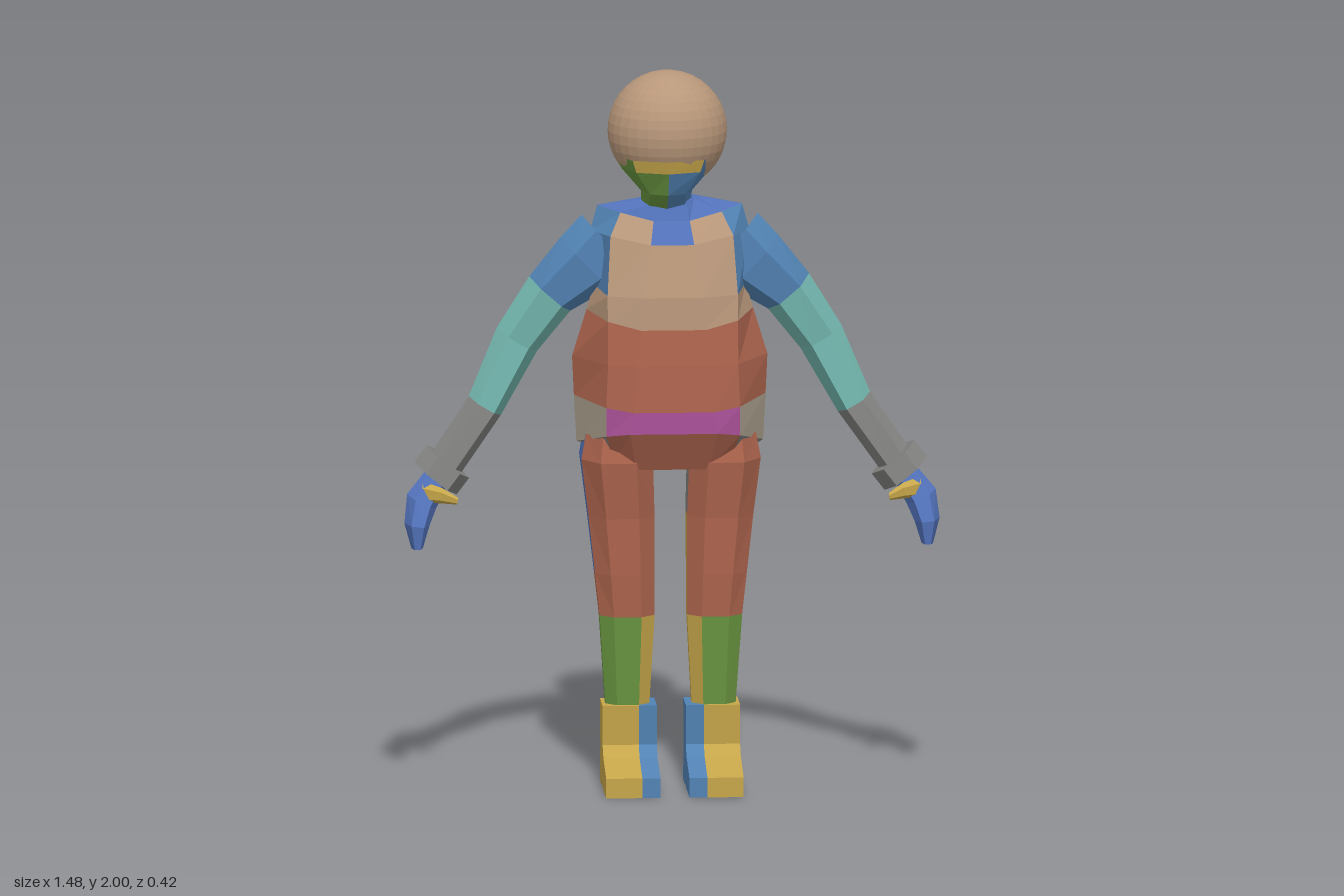
import * as THREE from 'three';

const mat = (name, color) => {
  const m = new THREE.MeshStandardMaterial({ color });
  m.name = name;
  return m;
};
const M = {
  t: mat('tan', 0xb8977a), r: mat('brick', 0xb0664f), m: mat('magenta', 0xa85096),
  y: mat('grey', 0x828280), e: mat('beigeGrey', 0xa89e8b), c: mat('teal', 0x74b8b0),
  s: mat('steelBlue', 0x5283b4), b: mat('royalBlue', 0x5272ba), g: mat('gold', 0xc6a64a),
  n: mat('green', 0x6a9641),
};

// Skins closed rings into flat faces; each band has one colour letter per side.
function loft(name, rings, bands, { side = 1, bottom, top } = {}) {
  const byColour = {};
  const tri = (key, ...pts) => {
    if (side < 0) pts.reverse();
    const list = (byColour[key] ??= []);
    for (const [x, y, z] of pts) list.push(x * side, y, z);
  };
  const n = rings[0].length;
  for (let i = 0; i < rings.length - 1; i++) {
    for (let j = 0; j < n; j++) {
      const k = (j + 1) % n, lo = rings[i], hi = rings[i + 1];
      const key = bands[i][j % bands[i].length];
      tri(key, lo[j], lo[k], hi[k]);
      tri(key, lo[j], hi[k], hi[j]);
    }
  }
  const cap = (key, ring, up) => {
    const c = [0, 1, 2].map((a) => ring.reduce((sum, p) => sum + p[a], 0) / n);
    ring.forEach((p, j) => {
      const q = ring[(j + 1) % n];
      if (up) tri(key, c, p, q); else tri(key, c, q, p);
    });
  };
  if (bottom) cap(bottom, rings[0], false);
  if (top) cap(top, rings.at(-1), true);

  const geo = new THREE.BufferGeometry(), pos = [], mats = [];
  for (const [key, list] of Object.entries(byColour)) {
    geo.addGroup(pos.length / 3, list.length / 3, mats.length);
    mats.push(M[key]);
    for (const v of list) pos.push(v);
  }
  geo.setAttribute('position', new THREE.Float32BufferAttribute(pos, 3));
  geo.computeVertexNormals();
  const mesh = new THREE.Mesh(geo, mats);
  mesh.name = name;
  return mesh;
}

// Six-sided sections along a limb path; each stop is x, y, z, half width, half depth.
function limb(stops) {
  return stops.map(([x, y, z, w, h], i) => {
    const a = stops[Math.max(i - 1, 0)], b = stops[Math.min(i + 1, stops.length - 1)];
    const d = new THREE.Vector2(b[0] - a[0], b[1] - a[1]).normalize();
    return Array.from({ length: 6 }, (_, k) => {
      const t = THREE.MathUtils.degToRad(60 * k - 30);
      const s = Math.sin(t) * w;
      return [x + d.y * s, y - d.x * s, z + Math.cos(t) * h * 1.15];
    });
  });
}

function torso() {
  // Half outlines from front to back: x, y, z
  const halves = [
    [[.10, .90, .10], [.16, .92, .08], [.21, .95, -.03], [.17, .95, -.12], [.07, .94, -.14]],
    [[.12, 1.01, .16], [.185, 1.0, .13], [.258, .96, -.03], [.21, .95, -.15], [.09, .95, -.19]],
    [[.11, 1.07, .158], [.185, 1.08, .13], [.265, 1.09, -.03], [.21, 1.06, -.16], [.09, 1.05, -.195]],
    [[.10, 1.20, .157], [.18, 1.2, .13], [.27, 1.2, -.03], [.21, 1.17, -.17], [.09, 1.16, -.207]],
    [[.09, 1.30, .152], [.18, 1.32, .12], [.23, 1.33, -.03], [.20, 1.30, -.16], [.08, 1.29, -.207]],
    [[.08, 1.39, .147], [.18, 1.39, .11], [.21, 1.4, -.03], [.19, 1.40, -.15], [.08, 1.40, -.2]],
    [[.06, 1.53, .105], [.17, 1.55, .07], [.22, 1.55, -.03], [.18, 1.53, -.13], [.08, 1.52, -.175]],
    [[.05, 1.59, .06], [.14, 1.61, .03], [.20, 1.62, -.04], [.14, 1.60, -.11], [.06, 1.59, -.145]],
    [[.04, 1.64, .04], [.065, 1.645, .01], [.075, 1.645, -.02], [.065, 1.645, -.05], [.04, 1.64, -.075]],
  ];
  const rings = halves.map((h) => [...h, ...h.map(([x, y, z]) => [-x, y, z]).reverse()]);
  // Colours of the front, four sides and back, mirrored round the ring
  const bands = ['rryyyy', 'mmeeyy', 'rrrttt', 'rrrrtt', 'tttyyy', 'ttseet', 'btsbts', 'bbbbbb']
    .map(([f, a, b, c, d, k]) => [a, b, c, d, k, d, c, b, a, f]);
  return loft('jacket', rings, bands, { bottom: 'y', top: 'b' });
}

function head() {
  const g = new THREE.Group();
  g.name = 'head';
  const ball = new THREE.SphereGeometry(.165, 32, 20).toNonIndexed();
  ball.computeVertexNormals();
  const skull = new THREE.Mesh(ball, M.t);
  skull.name = 'skull';
  skull.position.set(-.008, 1.835, -.01);

  // Neck and jaw: y, half width, half depth, centre z
  const rings = [
    [1.62, .07, .06, -.015], [1.67, .07, .085, .025], [1.735, .125, .11, .03], [1.77, .14, .12, .03],
  ].map(([y, w, d, z]) => Array.from({ length: 8 }, (_, k) => {
    const t = k * Math.PI / 4;
    return [-.012 + Math.sin(t) * w, y, z + Math.cos(t) * d];
  }));
  g.add(skull, loft('neckAndJaw', rings, ['sstggtnn', 'sssggnnn', 'gssttnng']));
  return g;
}

function arm(side) {
  const g = new THREE.Group();
  g.name = side > 0 ? 'leftArm' : 'rightArm';
  g.add(loft('sleeve', limb([
    [.17, 1.525, -.04, .10, .07], [.23, 1.46, -.04, .10, .075], [.33, 1.37, -.055, .075, .07],
    [.42, 1.24, -.07, .065, .065], [.51, 1.06, -.045, .052, .055], [.625, .90, 0, .05, .048],
  ]), ['sscees', 'sscees', 'ccceec', 'ccceec', 'y'], { side }));
  g.add(loft('cuff', limb([[.615, .912, 0, .075, .07], [.65, .868, .012, .075, .07]]),
    ['y'], { side, bottom: 'y', top: 'y' }));
  g.add(loft('hand', limb([
    [.64, .88, .01, .035, .035], [.69, .81, .045, .045, .05], [.705, .75, .075, .035, .048],
    [.705, .685, .085, .016, .03],
  ]), ['b', 'b', 'b'], { side, top: 'b' }));
  g.add(loft('thumb', limb([
    [.69, .835, .045, .03, .028], [.64, .832, .085, .022, .02], [.597, .825, .135, .01, .01],
  ]), ['g', 'g'], { side, top: 'g' }));
  return g;
}

function leg(side) {
  const g = new THREE.Group();
  g.name = side > 0 ? 'leftLeg' : 'rightLeg';
  // y, inner x, outer x, front z, back z
  const rings = [
    [.20, .06, .178, .035, -.065], [.48, .045, .197, .06, -.06], [.60, .045, .21, .075, -.085],
    [.76, .045, .228, .085, -.125], [.92, .05, .248, .112, -.155], [.99, .06, .235, .10, -.15],
  ].map(([y, xi, xo, zf, zb]) => [
    [.25, 1], [.75, 1], [1, .7], [1, .3], [.75, 0], [.25, 0], [0, .3], [0, .7],
  ].map(([u, v]) => [xi + (xo - xi) * u, y, zb + (zf - zb) * v]));
  g.add(loft('trouserLeg', rings,
    ['nnnnnggg', 'rrrbbggr', 'rrbbbggr', 'rrbbbyyr', 'rrbbbyyr'], { side }));

  // Boot outline in z and y, in an inner and an outer strip
  const shape = new THREE.Shape([
    [-.08, 0], [-.01, 0], [.01, .02], [.05, 0], [.21, 0], [.21, .055], [.08, .09],
    [.045, .12], [.05, .23], [-.075, .23], [-.062, .1],
  ].map((p) => new THREE.Vector2(...p)));
  for (const [name, x0, x1, m] of [['bootInner', .04, .09, M.s], ['bootOuter', .09, .19, M.g]]) {
    const geo = new THREE.ExtrudeGeometry(shape, { depth: x1 - x0, bevelEnabled: false });
    geo.rotateY(-Math.PI / 2).translate(side > 0 ? x1 : -x0, 0, 0);
    const mesh = new THREE.Mesh(geo, m);
    mesh.name = name;
    g.add(mesh);
  }
  return g;
}

export function createModel() {
  const model = new THREE.Group();
  model.name = 'figure';
  model.add(torso(), head());
  for (const side of [1, -1]) model.add(arm(side), leg(side));
  return model;
}
